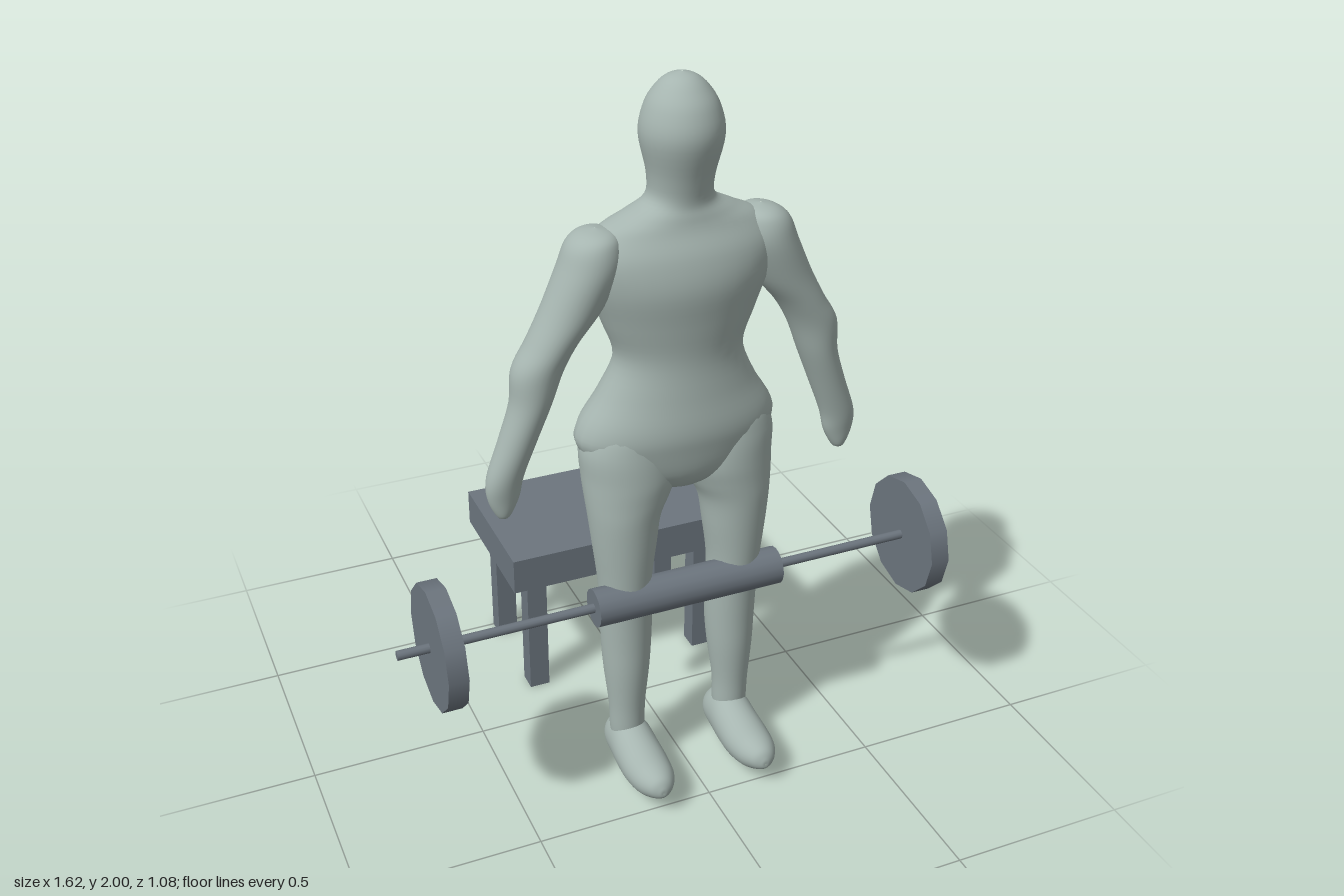
import * as THREE from 'three';

const skin = new THREE.MeshStandardMaterial({ color: 0xa6b5b0 });
skin.name = 'pale grey green';
const steel = new THREE.MeshStandardMaterial({ color: 0x6c757e });
steel.name = 'slate grey';

const SEG = 32, STEPS = 5;

// Catmull-Rom interpolation of one number
function spline(a, b, c, d, t) {
  return 0.5 * (2 * b + (c - a) * t + (2 * a - 5 * b + 4 * c - d) * t * t + (3 * b - a - 3 * c + d) * t * t * t);
}

// Smooth skin over elliptical rings; rows are [y, xMin, xMax, zMin, zMax] from bottom to top
function loft(rows, side = 1) {
  const rings = [];
  const last = rows.length - 1;
  for (let i = 0; i < last; i++) {
    const [a, b, c, d] = [rows[Math.max(i - 1, 0)], rows[i], rows[i + 1], rows[Math.min(i + 2, last)]];
    for (let s = 0; s < STEPS; s++) rings.push(b.map((_, k) => spline(a[k], b[k], c[k], d[k], s / STEPS)));
  }
  rings.push(rows[last]);
  const pos = [], index = [];
  rings.forEach(([y, x0, x1, z0, z1], i) => {
    for (let j = 0; j < SEG; j++) {
      const t = (j / SEG) * Math.PI * 2;
      pos.push(side * (x0 + x1) / 2 + Math.cos(t) * (x1 - x0) / 2, y, (z0 + z1) / 2 + Math.sin(t) * (z1 - z0) / 2);
      if (i === rings.length - 1) continue;
      const p = i * SEG + j, q = i * SEG + (j + 1) % SEG;
      index.push(p, p + SEG, q, q, p + SEG, q + SEG);
    }
  });
  const geo = new THREE.BufferGeometry();
  geo.setAttribute('position', new THREE.Float32BufferAttribute(pos, 3));
  geo.setIndex(index);
  geo.computeVertexNormals();
  return geo;
}

function add(parent, name, geo, mat, x = 0, y = 0, z = 0) {
  const mesh = new THREE.Mesh(geo, mat);
  mesh.name = name;
  mesh.position.set(x, y, z);
  parent.add(mesh);
  return mesh;
}

// Torso and head: [y, half width, zMin, zMax]
const TORSO = [
  [0.885, 0.01, 0.24, 0.27], [0.9, 0.08, 0.19, 0.32], [0.95, 0.2, 0.14, 0.36], [1.03, 0.272, 0.1, 0.377],
  [1.09, 0.27, 0.092, 0.382], [1.18, 0.215, 0.115, 0.372], [1.28, 0.176, 0.142, 0.365], [1.38, 0.208, 0.132, 0.375],
  [1.48, 0.245, 0.12, 0.386], [1.56, 0.26, 0.125, 0.372], [1.62, 0.22, 0.145, 0.345], [1.655, 0.15, 0.16, 0.335],
  [1.69, 0.09, 0.172, 0.33], [1.75, 0.085, 0.17, 0.342], [1.85, 0.105, 0.148, 0.369], [1.92, 0.092, 0.162, 0.355],
  [1.965, 0.065, 0.19, 0.325], [1.99, 0.036, 0.22, 0.295], [2, 0.002, 0.256, 0.26],
].map(([y, w, z0, z1]) => [y, -w, w, z0, z1]);

const ARM = [
  [0.88, 0.484, 0.49, 0.248, 0.252], [0.89, 0.468, 0.505, 0.235, 0.273], [0.94, 0.442, 0.526, 0.222, 0.283],
  [1, 0.428, 0.526, 0.21, 0.293], [1.1, 0.39, 0.49, 0.2, 0.305], [1.2, 0.35, 0.458, 0.195, 0.316],
  [1.29, 0.315, 0.45, 0.19, 0.322], [1.36, 0.275, 0.41, 0.185, 0.327], [1.44, 0.21, 0.368, 0.175, 0.333],
  [1.54, 0.16, 0.323, 0.167, 0.34], [1.6, 0.16, 0.298, 0.175, 0.33], [1.627, 0.18, 0.265, 0.2, 0.305],
  [1.637, 0.22, 0.225, 0.25, 0.255],
];

const LEG = [
  [0.07, 0.115, 0.2, 0.24, 0.33], [0.14, 0.11, 0.208, 0.236, 0.335], [0.22, 0.108, 0.211, 0.234, 0.337],
  [0.34, 0.094, 0.222, 0.212, 0.345], [0.44, 0.087, 0.227, 0.202, 0.347], [0.54, 0.086, 0.23, 0.205, 0.35],
  [0.63, 0.088, 0.235, 0.198, 0.356], [0.74, 0.074, 0.248, 0.188, 0.363], [0.83, 0.06, 0.258, 0.175, 0.367],
  [0.89, 0.03, 0.264, 0.158, 0.368], [0.95, 0.005, 0.268, 0.138, 0.368], [1.03, 0.01, 0.27, 0.135, 0.36],
  [1.1, 0.04, 0.24, 0.15, 0.34], [1.14, 0.1, 0.18, 0.22, 0.28],
];

// Foot from heel to toe: [z, half width, sole height, top height]
const FOOT = [
  [0.196, 0.004, 0.075, 0.085], [0.208, 0.036, 0.04, 0.118], [0.24, 0.055, 0.02, 0.145], [0.3, 0.062, 0.011, 0.165],
  [0.36, 0.065, 0.01, 0.15], [0.42, 0.065, 0.016, 0.138], [0.48, 0.056, 0.03, 0.132], [0.52, 0.036, 0.05, 0.118],
  [0.536, 0.014, 0.064, 0.095], [0.538, 0.002, 0.075, 0.08],
].map(([z, w, y0, y1]) => [z, 0.155 - w, 0.155 + w, -y1, -y0]);

function buildFigure() {
  const figure = new THREE.Group();
  figure.name = 'figure';
  add(figure, 'torsoAndHead', loft(TORSO), skin);
  for (const [label, side] of [['left', 1], ['right', -1]]) {
    add(figure, label + 'Arm', loft(ARM, side), skin);
    add(figure, label + 'Leg', loft(LEG, side), skin);
    add(figure, label + 'Foot', loft(FOOT, side).rotateX(Math.PI / 2), skin);
  }
  return figure;
}

function buildBarbell() {
  const barbell = new THREE.Group();
  barbell.name = 'barbell';
  barbell.position.set(0, 0.587, 0.327);
  const rod = (r, length, sides) => new THREE.CylinderGeometry(r, r, length, sides).rotateZ(Math.PI / 2);
  add(barbell, 'bar', rod(0.013, 1.62, 12), steel);
  add(barbell, 'pad', rod(0.053, 0.54, 16), steel);
  for (const side of [1, -1]) add(barbell, 'plate', rod(0.171, 0.054, 12), steel, side * 0.697);
  return barbell;
}

function buildBench() {
  const bench = new THREE.Group();
  bench.name = 'bench';
  bench.position.z = -0.322;
  add(bench, 'seat', new THREE.BoxGeometry(0.7, 0.108, 0.43), steel, 0, 0.434, 0);
  const leg = new THREE.BoxGeometry(0.06, 0.38, 0.06);
  for (const x of [-0.27, 0.27]) for (const z of [-0.15, 0.15]) add(bench, 'benchLeg', leg, steel, x, 0.19, z);
  return bench;
}

export function createModel() {
  const model = new THREE.Group();
  model.name = 'lifterWithBench';
  model.add(buildFigure(), buildBarbell(), buildBench());
  return model;
}
